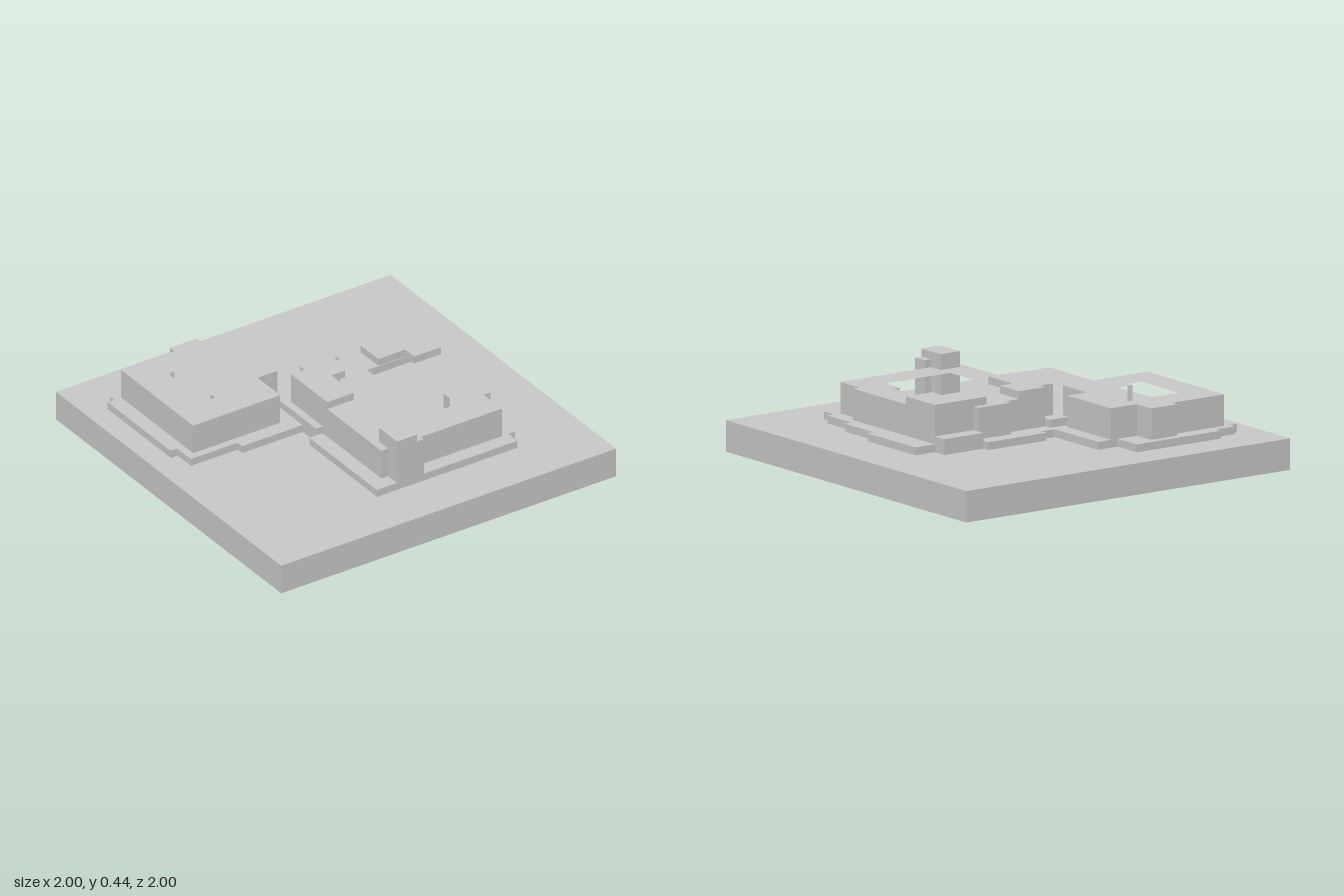
import * as THREE from 'three';

const material = new THREE.MeshStandardMaterial({ color: 0xcccccc, flatShading: true });

// Plan outline given as [x, z] corners
function path(points, Type) {
  return new Type(points.map(([x, z]) => new THREE.Vector2(x, -z)));
}

// Raises a plan outline (with optional openings) from y0 to y1
function slab(name, y0, y1, outline, holes = []) {
  const shape = path(outline, THREE.Shape);
  for (const hole of holes) shape.holes.push(path(hole, THREE.Path));
  const geometry = new THREE.ExtrudeGeometry(shape, { depth: y1 - y0, bevelEnabled: false });
  geometry.rotateX(-Math.PI / 2);
  geometry.translate(0, y0, 0);
  const mesh = new THREE.Mesh(geometry, material);
  mesh.name = name;
  return mesh;
}

const rect = (x0, z0, x1, z1) => [[x0, z0], [x1, z0], [x1, z1], [x0, z1]];

export function createModel() {
  const model = new THREE.Group();
  model.name = 'buildingSite';

  // Ground block with a shallow sunken yard
  const yard = [[-0.84, 0.24], [-0.48, 0.24], [-0.48, 0.64], [-0.4, 0.64],
    [-0.4, 0.76], [-0.76, 0.76], [-0.76, 0.64], [-0.84, 0.64]];
  model.add(slab('groundBase', 0, 0.12, rect(-1, -1, 1, 1)));
  model.add(slab('groundTop', 0.12, 0.16, rect(-1, -1, 1, 1), [yard]));

  // Stepped plinth shared by both buildings
  model.add(slab('plinth', 0.16, 0.2, [
    [-0.72, -0.8], [-0.2, -0.8], [-0.2, -0.64], [-0.08, -0.64], [-0.08, -0.28],
    [0, -0.28], [0, -0.32], [0.36, -0.32], [0.36, -0.28], [0.6, -0.28], [0.6, -0.2],
    [0.72, -0.2], [0.72, 0.2], [0.68, 0.2], [0.68, 0.44], [0.64, 0.44], [0.64, 0.64],
    [0.6, 0.64], [0.6, 0.72], [-0.24, 0.72], [-0.24, 0.12], [-0.2, 0.12], [-0.2, 0],
    [-0.56, 0], [-0.56, -0.04], [-0.84, -0.04], [-0.84, -0.16], [-0.88, -0.16],
    [-0.88, -0.72], [-0.84, -0.72], [-0.84, -0.76], [-0.72, -0.76],
  ]));

  // Small building around its courtyard
  model.add(slab('smallBuildingWalls', 0.2, 0.36, [
    [-0.8, -0.72], [-0.48, -0.72], [-0.48, -0.76], [-0.32, -0.76], [-0.32, -0.64],
    [-0.16, -0.64], [-0.16, -0.28], [-0.28, -0.28], [-0.28, -0.08], [-0.8, -0.08],
  ], [[[-0.64, -0.56], [-0.32, -0.56], [-0.32, -0.28], [-0.56, -0.28],
    [-0.56, -0.24], [-0.64, -0.24]]]));

  // Large building around its courtyard
  model.add(slab('largeBuildingWalls', 0.2, 0.36, [
    [-0.16, -0.16], [-0.08, -0.16], [-0.08, -0.2], [0.16, -0.2], [0.16, -0.24],
    [0.36, -0.24], [0.36, -0.2], [0.6, -0.2], [0.6, 0.48], [0.56, 0.48],
    [0.56, 0.64], [-0.16, 0.64],
  ], [[[0, -0.04], [0.44, -0.04], [0.44, 0.36], [0.4, 0.36], [0.4, 0.48], [0, 0.48]]]));

  // Raised roof corners
  model.add(slab('rightRoofCorner', 0.36, 0.4, [
    [-0.16, -0.16], [-0.08, -0.16], [-0.08, -0.2], [0.08, -0.2], [0.08, -0.04],
    [0, -0.04], [0, 0.16], [-0.16, 0.16],
  ]));
  model.add(slab('leftRoofCorner', 0.36, 0.4, [
    [0.28, -0.2], [0.6, -0.2], [0.6, 0.04], [0.44, 0.04], [0.44, -0.04], [0.28, -0.04],
  ]));

  // Low steps against the outer walls
  model.add(slab('sideStep', 0.2, 0.24, [
    [-0.2, -0.24], [-0.08, -0.24], [-0.08, -0.16], [-0.16, -0.16], [-0.16, 0.12], [-0.2, 0.12],
  ]));
  model.add(slab('backStep', 0.2, 0.24, rect(0.36, -0.28, 0.6, -0.2)));

  // Front tower with its narrow buttress
  model.add(slab('tower', 0.2, 0.44, rect(-0.12, 0.56, 0, 0.72)));
  model.add(slab('towerButtress', 0.2, 0.4, rect(0, 0.64, 0.04, 0.72)));

  return model;
}
